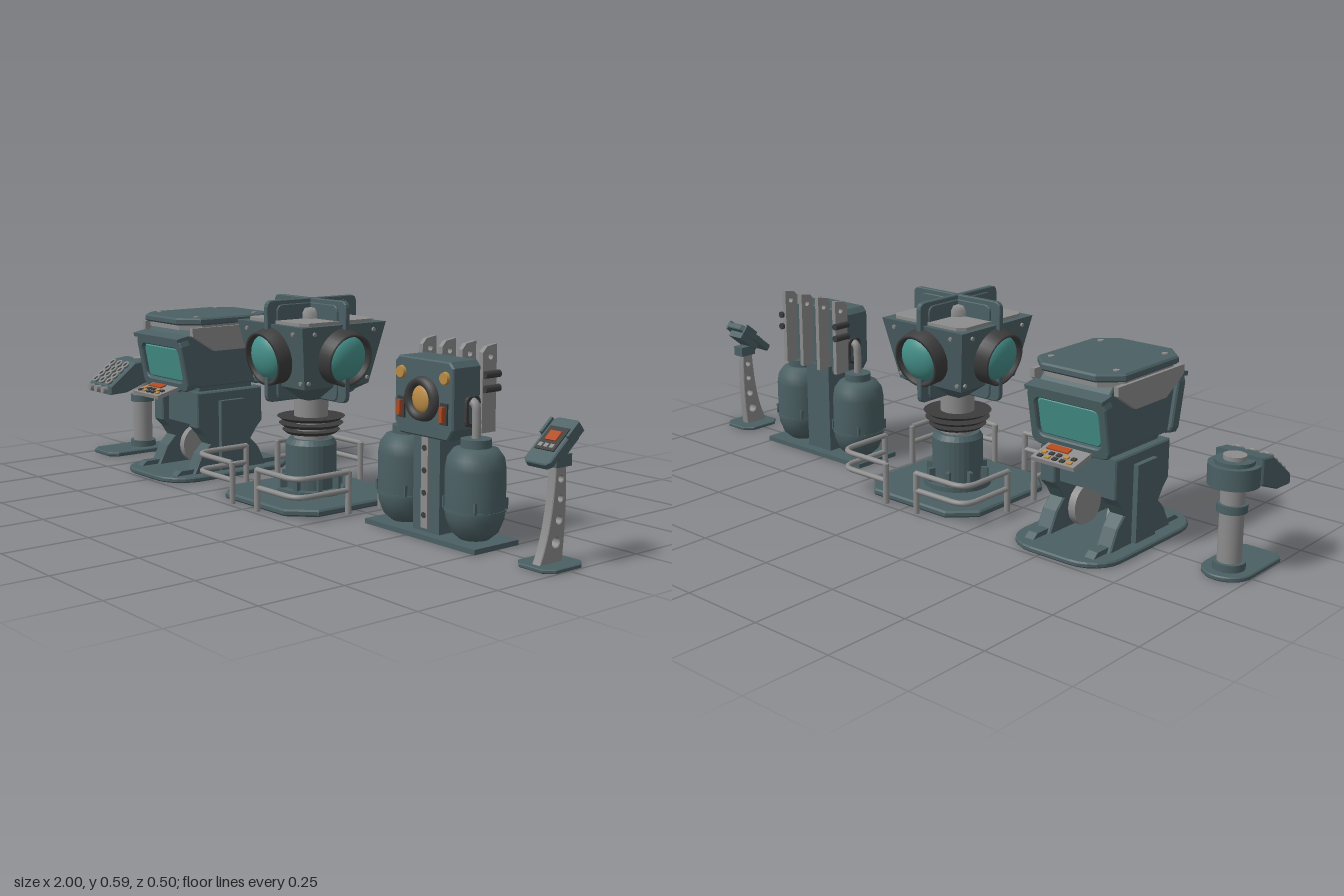
import * as THREE from 'three';

const BODY = 0x4b6064, LIGHT = 0x8c8c8c, DARK = 0x3c3c3c, GLASS = 0x46908a, AMBER = 0xb98a45, RED = 0xb04a20;
const PI = Math.PI;

function add(parent, name, geo, color, pos = [0, 0, 0], rot = [0, 0, 0], flat = false) {
  const m = new THREE.Mesh(geo, new THREE.MeshStandardMaterial({ color, flatShading: flat }));
  m.name = name;
  m.position.set(...pos);
  m.rotation.set(...rot);
  parent.add(m);
  return m;
}
function group(parent, name, x = 0, y = 0, z = 0) {
  const g = new THREE.Group();
  g.name = name;
  g.position.set(x, y, z);
  parent.add(g);
  return g;
}
const box = (w, h, d) => new THREE.BoxGeometry(w, h, d);
const cyl = (r, h, r2 = r, n = 28) => new THREE.CylinderGeometry(r2, r, h, n);
const lathe = (pts) => new THREE.LatheGeometry(pts.map(p => new THREE.Vector2(...p)), 32);
const poly = (pts) => new THREE.Shape(pts.map(p => new THREE.Vector2(...p)));
const hole = (s, x, y, r) => { s.holes.push(new THREE.Path().absarc(x, y, r, 0, PI * 2, true)); return s; };

// Rectangle with rounded (n > 1) or chamfered (n = 1) corners
function rrect(w, h, r, n = 6) {
  const pts = [];
  [[1, 1], [-1, 1], [-1, -1], [1, -1]].forEach(([sx, sy], q) => {
    for (let i = 0; i <= n; i++) {
      const a = (q + i / n) * PI / 2;
      pts.push([sx * (w / 2 - r) + r * Math.cos(a), sy * (h / 2 - r) + r * Math.sin(a)]);
    }
  });
  return poly(pts);
}
const extrude = (s, d, bevel = 0) => new THREE.ExtrudeGeometry(s, {
  depth: d - 2 * bevel, bevelEnabled: bevel > 0, bevelSize: bevel, bevelOffset: -bevel,
  bevelThickness: bevel, bevelSegments: 1, curveSegments: 16 }).translate(0, 0, bevel - d / 2);
// Shape drawn in plan (x, z), centred in height
const plan = (s, d, b) => extrude(s, d, b).rotateX(PI / 2);
// Shape drawn in side view (z, y), centred in width
const side = (s, d, b) => extrude(s, d, b).rotateY(-PI / 2);
const frustum = (bottom, top, h) => new THREE.CylinderGeometry(top * Math.SQRT2, bottom * Math.SQRT2, h, 4).rotateY(PI / 4);

function controlPost(root) {
  const g = group(root, 'controlPost', -0.93);
  const foot = new THREE.Shape();
  foot.moveTo(-0.07, 0).lineTo(-0.07, 0.14).lineTo(-0.045, 0.165).lineTo(0.045, 0.165).lineTo(0.07, 0.14).lineTo(0.07, 0);
  foot.absarc(0, 0, 0.07, 0, -PI, true);
  add(g, 'postFoot', plan(foot, 0.014, 0.003), BODY, [0, 0.007, 0]);
  add(g, 'post', cyl(0.032, 0.24), LIGHT, [0, 0.13, 0]);
  add(g, 'postSleeve', cyl(0.04, 0.022), BODY, [0, 0.18, 0]);
  add(g, 'postSocket', cyl(0.043, 0.02), BODY, [0, 0.024, 0]);
  add(g, 'headHub', cyl(0.068, 0.055), BODY, [0, 0.27, 0]);
  add(g, 'hubCap', cyl(0.052, 0.012), BODY, [0, 0.302, 0]);
  add(g, 'hubLamp', cyl(0.03, 0.014), LIGHT, [0, 0.312, 0]);
  add(g, 'headBody', side(poly([[0.02, 0.318], [0.07, 0.312], [0.165, 0.24], [0.165, 0.212], [0.1, 0.215], [0.02, 0.245]]), 0.14, 0.004), BODY);
  // Grid of sockets on the sloping face
  const face = group(g, 'socketFace', 0, 0.277, 0.12);
  face.rotation.x = Math.atan2(0.072, 0.095);
  for (let i = 0; i < 3; i++) {
    const x = (i - 1) * 0.042;
    for (let j = 0; j < 4; j++) {
      add(face, 'socketRim', new THREE.TorusGeometry(0.012, 0.004, 6, 14).rotateX(PI / 2), LIGHT, [x, 0.004, (j - 1.5) * 0.027]);
      add(face, 'socket', cyl(0.011, 0.01, 0.011, 14), DARK, [x, 0, (j - 1.5) * 0.027]);
    }
    add(g, 'frontKnob', cyl(0.011, 0.022, 0.011, 14), LIGHT, [x, 0.228, 0.172], [PI / 2, 0, 0]);
  }
}

function screenConsole(root) {
  const g = group(root, 'screenConsole', -0.533);
  add(g, 'consoleBase', plan(rrect(0.33, 0.48, 0.1), 0.016, 0.004), BODY, [0, 0.008, 0]);
  const leg = poly([[-0.14, 0.014], [-0.11, 0.075], [-0.08, 0.105], [-0.1, 0.135], [-0.124, 0.16], [-0.124, 0.27],
    [0.124, 0.27], [0.124, 0.16], [0.1, 0.135], [0.08, 0.105], [0.11, 0.075], [0.14, 0.014]]);
  for (const s of [-1, 1]) {
    add(g, 'sideLeg', side(leg, 0.05, 0.004), BODY, [s * 0.1, 0, 0]);
    add(g, 'outerRib', box(0.02, 0.22, 0.09), BODY, [s * 0.13, 0.13, 0]);
    add(g, 'innerWheel', cyl(0.06, 0.03), LIGHT, [s * 0.067, 0.07, 0], [0, 0, PI / 2]);
    add(g, 'footRail', side(poly([[-0.2, 0.014], [-0.18, 0.03], [0.18, 0.03], [0.2, 0.014]]), 0.03), BODY, [s * 0.1, 0, 0]);
    add(g, 'canopyBracket', side(poly([[-0.15, 0.45], [-0.15, 0.475], [0.15, 0.475], [0.15, 0.45], [0.07, 0.40], [-0.07, 0.40]]), 0.014), LIGHT, [s * 0.135, 0, 0]);
  }
  add(g, 'yoke', box(0.16, 0.11, 0.2), BODY, [0, 0.215, 0]);
  add(g, 'neck', box(0.2, 0.04, 0.2), BODY, [0, 0.28, 0]);
  add(g, 'housingCore', side(poly([[-0.125, 0.285], [-0.155, 0.44], [-0.12, 0.48], [0.12, 0.48], [0.155, 0.44], [0.125, 0.285]]), 0.23, 0.004), BODY);
  add(g, 'canopy', plan(rrect(0.285, 0.35, 0.055, 1), 0.022, 0.005), BODY, [0, 0.493, 0]);
  add(g, 'canopyRim', plan(rrect(0.265, 0.32, 0.05, 1), 0.016), LIGHT, [0, 0.474, 0]);
  for (const x of [-1, 1]) for (const z of [-1, 1])
    add(g, 'canopyBolt', cyl(0.009, 0.004, 0.009, 10), LIGHT, [x * 0.105, 0.505, z * 0.11]);
  // Same screen and keypad at the front and at the back
  for (const a of [0, PI]) {
    const f = group(g, 'screenSide');
    f.rotation.y = a;
    const s = group(f, 'screen', 0, 0.36, 0.15);
    s.rotation.x = 0.19;
    const frame = rrect(0.255, 0.165, 0.02, 2);
    frame.holes.push(rrect(0.205, 0.11, 0.02, 4));
    add(s, 'screenFrame', extrude(frame, 0.036, 0.004), BODY, [0, 0, 0.005]);
    add(s, 'screenGlass', extrude(rrect(0.205, 0.11, 0.02, 4), 0.022, 0.006), GLASS, [0, 0, 0.004]);
    add(s, 'screenHood', box(0.25, 0.012, 0.045), BODY, [0, 0.084, 0.008]);
    const k = group(f, 'keypad', 0, 0.272, 0.19);
    k.rotation.x = 0.25;
    add(k, 'keypadPlate', box(0.14, 0.012, 0.09), LIGHT);
    add(k, 'keypadDisplay', box(0.07, 0.006, 0.022), RED, [-0.02, 0.007, -0.015]);
    for (let i = 0; i < 10; i++)
      add(k, 'key', box(0.014, 0.006, 0.012), i % 3 ? DARK : AMBER, [(i % 5 - 2) * 0.024, 0.007, i < 5 ? 0.012 : 0.031]);
    add(f, 'keypadHinge', cyl(0.009, 0.13, 0.009, 14), BODY, [0, 0.278, 0.15], [0, 0, PI / 2]);
  }
}

function lampTower(root) {
  const g = group(root, 'lampTower');
  add(g, 'towerBase', plan(rrect(0.42, 0.42, 0.07, 1), 0.02, 0.005), BODY, [0, 0.01, 0]);
  add(g, 'lowerColumn', lathe([[0, 0.02], [0.1, 0.02], [0.1, 0.035], [0.075, 0.035], [0.075, 0.165], [0.065, 0.18], [0, 0.18]]), BODY, [0, 0, 0], [0, 0, 0], true);
  for (let i = 0; i < 8; i++) {
    const a = (i + 0.5) * PI / 4;
    add(g, 'columnRib', box(0.012, 0.05, 0.03), BODY, [Math.sin(a) * 0.08, 0.05, Math.cos(a) * 0.08], [0, a, 0]);
  }
  add(g, 'upperColumn', cyl(0.05, 0.17), LIGHT, [0, 0.25, 0]);
  for (const [y, r] of [[0.2, 0.085], [0.22, 0.095], [0.24, 0.1]])
    add(g, 'columnDisc', cyl(r * 0.85, 0.01, r), DARK, [0, y, 0]);
  // Head: tapered body, crossing plates, four lamps
  add(g, 'headUnderside', frustum(0.05, 0.118, 0.045), BODY, [0, 0.322, 0], [0, 0, 0], true);
  add(g, 'headBody', frustum(0.118, 0.153, 0.18), BODY, [0, 0.434, 0], [0, 0, 0], true);
  add(g, 'headRoof', plan(rrect(0.27, 0.27, 0.02, 1), 0.012), LIGHT, [0, 0.527, 0]);
  add(g, 'roofDome', lathe([[0.045, 0.525], [0.045, 0.55], [0.036, 0.563], [0, 0.566]]), LIGHT);
  for (const a of [0, PI / 2]) {
    add(g, 'crossPlate', extrude(rrect(0.33, 0.29, 0.018, 3), 0.016, 0.002), BODY, [0, 0.445, 0], [0, a, 0]);
    add(g, 'crossPlateBoss', extrude(rrect(0.265, 0.275, 0.018, 3), 0.026, 0.002), BODY, [0, 0.44, 0], [0, a, 0]);
  }
  for (let i = 0; i < 4; i++) {
    const f = group(g, 'lampSide');
    f.rotation.y = i * PI / 2;
    const l = group(f, 'lamp', 0, 0.433, 0.136);
    l.rotation.x = 0.19;
    add(l, 'lampRing', lathe([[0.083, 0], [0.078, 0.042], [0.069, 0.042], [0.064, 0.015]]).rotateX(PI / 2), DARK);
    add(l, 'lampGlass', new THREE.SphereGeometry(0.067, 28, 14, 0, PI * 2, 0, PI / 2).scale(1, 0.55, 1).rotateX(PI / 2), GLASS, [0, 0, 0.018]);
    for (const x of [-1, 1]) for (const y of [-1, 1])
      add(l, 'lampBolt', cyl(0.006, 0.006, 0.006, 8), LIGHT, [x * 0.108, y * 0.072, 0.002], [PI / 2, 0, 0]);
    // Corner guard rail
    const rail = new THREE.CurvePath();
    const v = (x, z) => new THREE.Vector3(x, 0, z);
    rail.add(new THREE.LineCurve3(v(0.058, 0.242), v(0.192, 0.242)));
    rail.add(new THREE.QuadraticBezierCurve3(v(0.192, 0.242), v(0.242, 0.242), v(0.242, 0.192)));
    rail.add(new THREE.LineCurve3(v(0.242, 0.192), v(0.242, 0.058)));
    for (const y of [0.073, 0.124]) add(f, 'guardRail', new THREE.TubeGeometry(rail, 40, 0.008, 10), LIGHT, [0, y, 0]);
    for (const [x, z] of [[0.06, 0.242], [0.242, 0.06]])
      add(f, 'railPost', cyl(0.009, 0.12, 0.009, 10), LIGHT, [x, 0.065, z]);
  }
}

function tankUnit(root) {
  const g = group(root, 'tankUnit', 0.546);
  add(g, 'unitBase', box(0.42, 0.014, 0.16), BODY, [0, 0.007, 0]);
  add(g, 'centreColumn', box(0.1, 0.28, 0.1), BODY, [0, 0.15, 0]);
  add(g, 'columnStrip', box(0.025, 0.25, 0.012), LIGHT, [0, 0.15, 0.052]);
  for (let i = 0; i < 4; i++) add(g, 'stripBolt', cyl(0.008, 0.01, 0.008, 12), DARK, [0, 0.06 + i * 0.06, 0.055], [PI / 2, 0, 0]);
  const body = poly([[-0.11, 0.3], [-0.09, 0.27], [0.09, 0.27], [0.11, 0.3], [0.11, 0.46], [0.095, 0.475], [-0.095, 0.475], [-0.11, 0.46]]);
  add(g, 'unitBody', extrude(body, 0.1, 0.004), BODY, [0, 0, 0.015]);
  add(g, 'gaugeRing', lathe([[0.06, 0], [0.055, 0.018], [0.038, 0.018], [0.036, 0.002]]).rotateX(PI / 2), DARK, [0, 0.37, 0.064]);
  add(g, 'gaugeLens', new THREE.SphereGeometry(0.037, 24, 12, 0, PI * 2, 0, PI / 2).scale(1, 0.4, 1).rotateX(PI / 2), AMBER, [0, 0.37, 0.067]);
  // Cooling fins on the back
  const fin = hole(poly([[-0.03, 0.285], [-0.03, 0.495], [-0.045, 0.51], [-0.08, 0.515], [-0.08, 0.285]]), -0.058, 0.483, 0.008);
  for (let i = 0; i < 4; i++) add(g, 'coolingFin', side(fin, 0.014), LIGHT, [(i - 1.5) * 0.075, 0, 0]);
  for (const s of [-1, 1]) {
    const x = s * 0.13;
    add(g, 'tank', lathe([[0, 0.014], [0.04, 0.016], [0.062, 0.035], [0.076, 0.07], [0.079, 0.095], [0.079, 0.2], [0.074, 0.23], [0.058, 0.252], [0.03, 0.258]]), BODY, [x, 0, 0]);
    add(g, 'tankBand', cyl(0.081, 0.006, 0.081, 32), BODY, [x, 0.094, 0]);
    add(g, 'tankCap', cyl(0.04, 0.026), BODY, [x, 0.265, 0]);
    for (let i = 0; i < 4; i++) {
      const a = (i + 0.5) * PI / 2;
      add(g, 'tankLug', box(0.006, 0.03, 0.008), BODY, [x + Math.cos(a) * 0.08, 0.11, Math.sin(a) * 0.08]);
    }
    const pipe = new THREE.CatmullRomCurve3([[0, 0.27], [0, 0.33], [-0.005, 0.365], [-0.03, 0.375]].map(([px, y]) => new THREE.Vector3(x + s * px, y, 0)));
    add(g, 'tankPipe', new THREE.TubeGeometry(pipe, 20, 0.012, 12), LIGHT);
    const slot = rrect(0.05, 0.08, 0.015, 3);
    slot.holes.push(rrect(0.034, 0.062, 0.01, 3));
    add(g, 'pipeFrame', side(slot, 0.012), DARK, [s * 0.113, 0.345, 0]);
    for (const y of [0.4, 0.437]) add(g, 'sideCylinder', cyl(0.01, 0.055, 0.01, 14), DARK, [s * 0.122, y, -0.06], [PI / 2, 0, 0]);
    add(g, 'warningLamp', cyl(0.018, 0.012, 0.015, 18), AMBER, [s * 0.082, 0.433, 0.068], [PI / 2, 0, 0]);
    add(g, 'handle', box(0.012, 0.04, 0.012), RED, [s * 0.08, 0.34, 0.075]);
    add(g, 'handlePlate', box(0.026, 0.056, 0.008), DARK, [s * 0.08, 0.34, 0.066]);
  }
}

function displayStand(root) {
  const g = group(root, 'displayStand', 0.935);
  add(g, 'standBase', plan(rrect(0.125, 0.14, 0.025, 1), 0.01, 0.002), BODY, [0, 0.005, 0]);
  const strut = new THREE.Shape();
  strut.moveTo(0.05, 0.01).quadraticCurveTo(0.005, 0.1, 0.0, 0.27).lineTo(-0.035, 0.27);
  strut.quadraticCurveTo(-0.045, 0.14, -0.03, 0.01);
  for (const [z, y, r] of [[-0.006, 0.06, 0.013], [-0.015, 0.115, 0.01], [-0.018, 0.168, 0.008], [-0.018, 0.217, 0.008]]) hole(strut, z, y, r);
  add(g, 'strut', side(strut, 0.026, 0.002), LIGHT);
  add(g, 'strutTop', box(0.04, 0.03, 0.055), BODY, [0, 0.262, -0.02]);
  const h = group(g, 'displayHead', 0, 0.305, 0);
  h.rotation.x = 0.69;
  add(h, 'displayPlate', plan(rrect(0.085, 0.15, 0.012, 1), 0.02, 0.003), BODY);
  add(h, 'displayBack', box(0.06, 0.025, 0.08), BODY, [0, -0.018, -0.012]);
  add(h, 'displayFrame', box(0.062, 0.01, 0.075), DARK, [0, 0.008, -0.005]);
  add(h, 'displayScreen', box(0.035, 0.004, 0.03), RED, [0, 0.014, -0.012]);
  for (const x of [-1, 0, 1]) add(h, 'displayKey', box(0.012, 0.006, 0.012), LIGHT, [x * 0.018, 0.013, 0.02]);
  for (const s of [-1, 1]) add(h, 'sideGrip', box(0.008, 0.03, 0.05), BODY, [s * 0.042, 0.002, -0.04]);
}

export function createModel() {
  const root = new THREE.Group();
  root.name = 'consoleSet';
  controlPost(root);
  screenConsole(root);
  lampTower(root);
  tankUnit(root);
  displayStand(root);
  return root;
}
